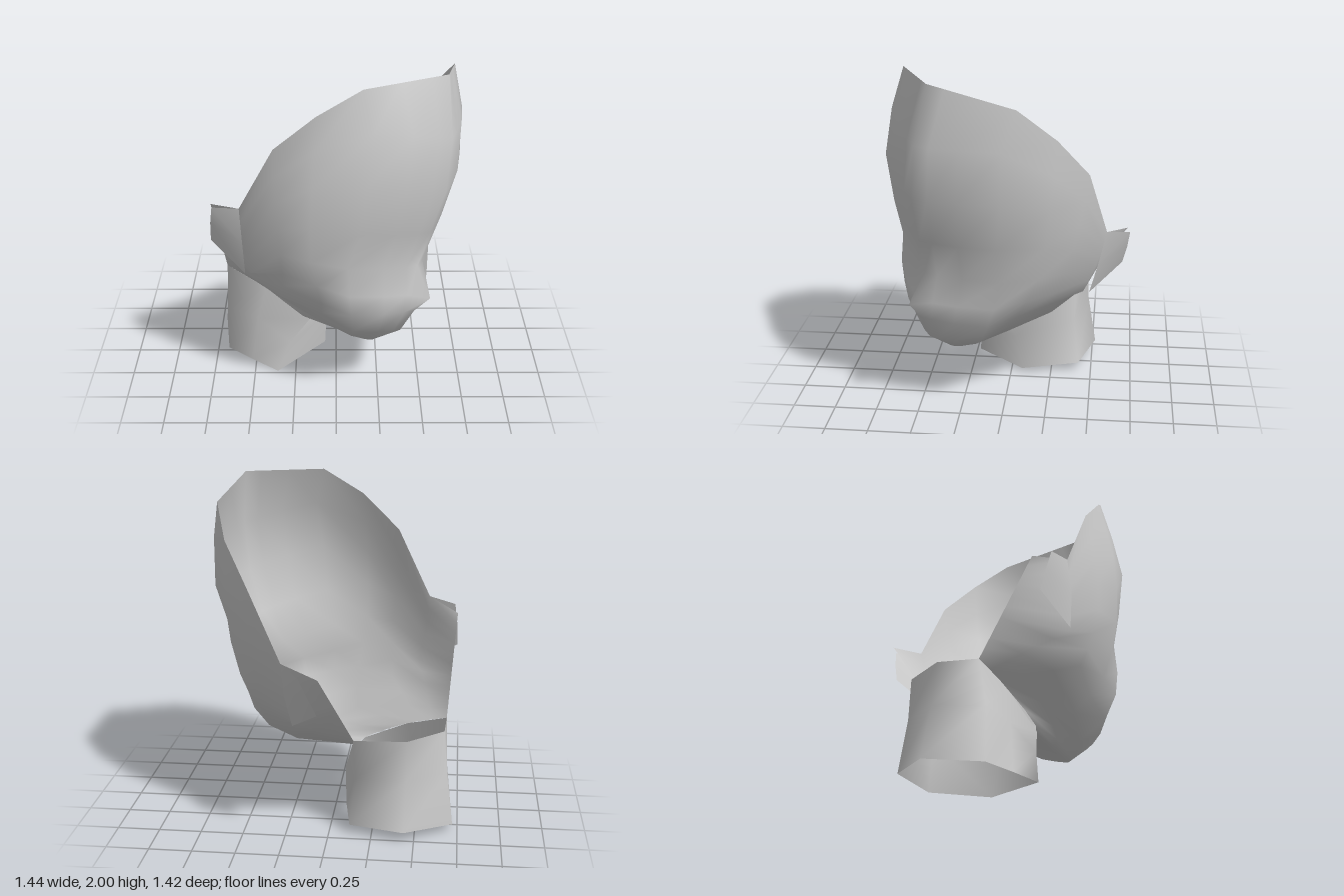
import * as THREE from 'three';

const LAST_ROW = 10;
const material = new THREE.MeshStandardMaterial({ color: 0xcccccc, side: THREE.DoubleSide });
const vec = ([x, y, z]) => new THREE.Vector3(x, y, z);

// Turned and tilted frame of the head: sideways, up, forward
const across = new THREE.Vector3(0.612, -0.116, -0.783).normalize();
const forward = new THREE.Vector3(0.787, 0, 0.617).normalize();
const up = new THREE.Vector3().crossVectors(forward, across);
const frame = new THREE.Matrix4().makeBasis(across, up, forward)
  .setPosition(across.clone().multiplyScalar(-0.165));
const place = (p, side) => new THREE.Vector3(p.x * side, p.y, p.z).applyMatrix4(frame);

// Smooth skin over a grid of points[column][row]
function skin(points, closed, name) {
  const n = points.length, m = points[0].length, index = [];
  const geometry = new THREE.BufferGeometry().setFromPoints(points.flat());
  for (let i = 0; i < (closed ? n : n - 1); i++) {
    for (let j = 0; j < m - 1; j++) {
      const a = i * m + j, b = ((i + 1) % n) * m + j;
      index.push(a, a + 1, b, b, a + 1, b + 1);
    }
  }
  geometry.setIndex(index);
  geometry.computeVertexNormals();
  const mesh = new THREE.Mesh(geometry, material);
  mesh.name = name;
  return mesh;
}

// Head columns run from the open rim down to the jaw
const centre = [
  [0, 1.994, 0.707], [0, 1.66, 0.773], [0, 1.35, 0.77], [0, 1.08, 0.695], [0, 0.86, 0.637],
  [0, 0.69, 0.66], [0, 0.58, 0.65], [0, 0.42, 0.565], [0, 0.282, 0.375],
];
const brow = [
  [0.44, 1.935, 0.473], [0.43, 1.71, 0.555], [0.46, 1.42, 0.56], [0.42, 1.13, 0.515], [0.405, 0.9, 0.445],
  [0.39, 0.73, 0.46], [0.355, 0.6, 0.46], [0.28, 0.46, 0.425], [0.15, 0.345, 0.32],
];
const cheek = [[0.577, 1.769, 0.281], [0.605, 1.38, 0.31], [0.56, 0.94, 0.305], [0.42, 0.64, 0.29], [0.27, 0.44, 0.17]];
const temple = [[0.644, 1.546, 0.058], [0.64, 1.2, 0.1], [0.57, 0.84, 0.11], [0.47, 0.61, 0.04]];
const earRoot = [[0.647, 1.143, -0.161], [0.62, 0.94, -0.14], [0.56, 0.735, -0.12]];
const backEdge = [0.612, 1.089, -0.408];

// Edge where the jaw meets the neck, from the left round the front to the right
const jawEdge = new THREE.CatmullRomCurve3([
  [-0.67, 0.6, -0.04], [-0.43, 0.51, 0.08], [-0.16, 0.36, 0.2],
  [-0.13, 0.36, 0.1], [-0.13, 0.45, -0.15], [-0.14, 0.57, -0.4],
].map(vec));

const column = (list, rows) => new THREE.CatmullRomCurve3(list.map(vec)).getPoints(rows);

function createHead() {
  const mid = centre.map(vec), side = brow.map(vec);
  // Rounded columns between the centre line and the brow
  const between = (t) => mid.map((p, j) => {
    const q = p.clone().lerp(side[j], t);
    q.z += (j > 0 ? 0.1 : 0) * t * (1 - t);
    return q;
  });
  const half = [mid, between(0.2), between(0.55), side,
    column(cheek, 8), column(temple, 7), column(earRoot, 5), [vec(backEdge)]];
  mid[5].z += 0.085; // nose tip

  // Mirror the half and run every column on to the neck
  const last = half.length - 1, columns = [];
  for (let i = -last; i <= last; i++) {
    const points = half[Math.abs(i)].map((p) => place(p, Math.sign(i)));
    const start = points[points.length - 1], end = jawEdge.getPoint((i + last) / (2 * last));
    const steps = LAST_ROW + 1 - points.length;
    for (let j = 1; j <= steps; j++) points.push(start.clone().lerp(end, j / steps));
    columns.push(points);
  }
  return skin(columns, false, 'head');
}

// Ear flap standing off the side of the head
const earFlap = [
  [[0.647, 1.143, -0.161], [0.63, 0.94, -0.14], [0.59, 0.735, -0.14]],
  [[0.687, 1.11, -0.33], [0.66, 1.0, -0.36], [0.622, 0.875, -0.385]],
];

function createEar(side, name) {
  return skin(earFlap.map((list) => list.map((p) => place(vec(p), side))), false, name);
}

// Open neck: matching corners of the bottom, middle and top rings
const neckCorners = [
  [[-0.07, 0.02, -0.07], [-0.06, 0.25, -0.03], [-0.12, 0.36, 0.06]],
  [[-0.36, 0, 0.23], [-0.28, 0.2, 0.21], [-0.16, 0.36, 0.2]],
  [[-0.52, 0.01, 0.12], [-0.48, 0.3, 0.1], [-0.43, 0.51, 0.08]],
  [[-0.68, 0.02, 0], [-0.675, 0.33, 0], [-0.67, 0.6, -0.04]],
  [[-0.72, 0.04, -0.33], [-0.68, 0.35, -0.29], [-0.66, 0.6, -0.27]],
  [[-0.44, 0.06, -0.52], [-0.45, 0.36, -0.47], [-0.45, 0.6, -0.46]],
  [[-0.12, 0.05, -0.42], [-0.15, 0.33, -0.39], [-0.14, 0.57, -0.4]],
];

export function createModel() {
  const group = new THREE.Group();
  group.name = 'openHead';
  group.add(
    createHead(),
    createEar(1, 'earFlapBack'),
    createEar(-1, 'earFlapFront'),
    skin(neckCorners.map((list) => list.map(vec)), true, 'neck'),
  );
  return group;
}
